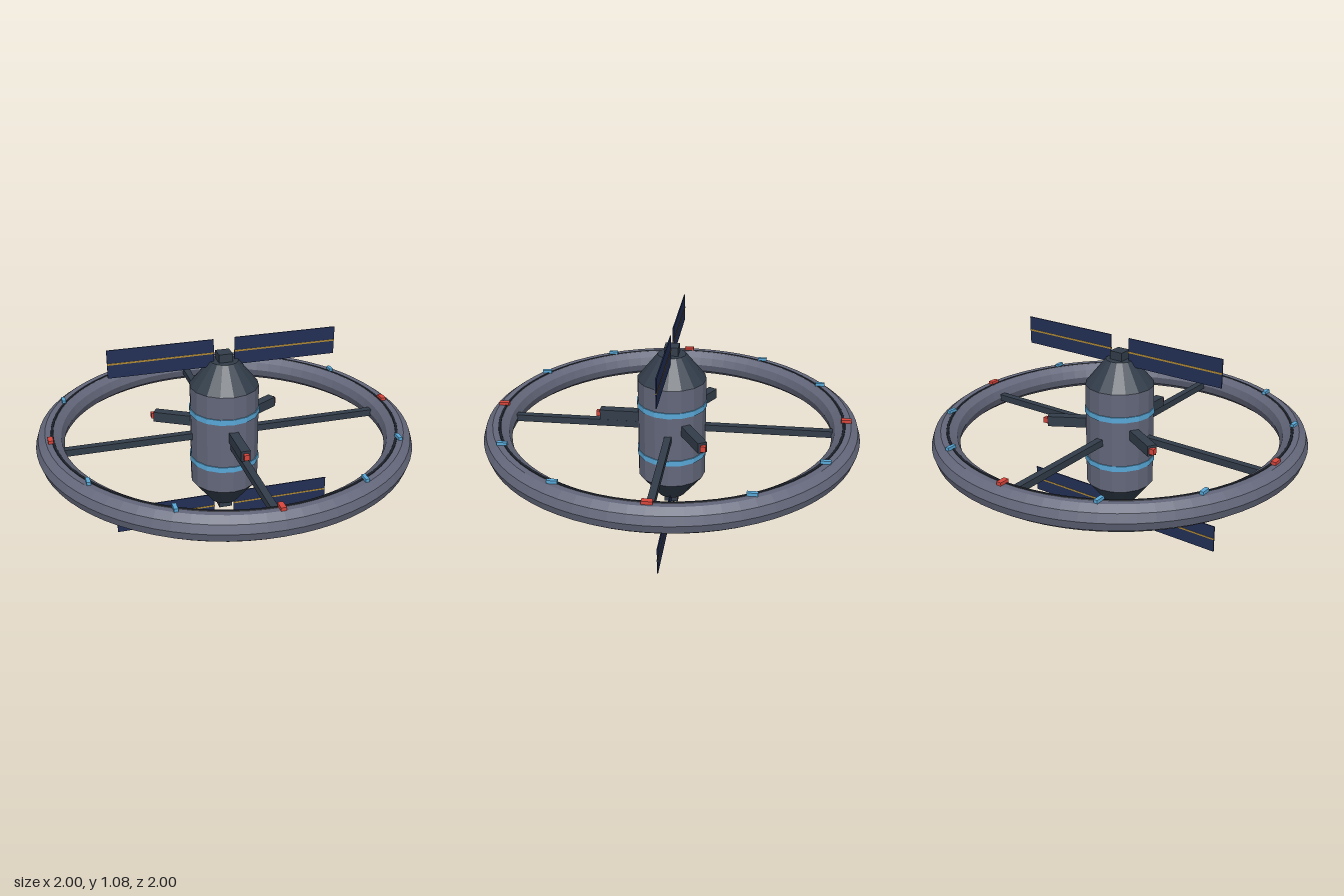
import * as THREE from 'three';

export function createModel() {
  const model = new THREE.Group();
  model.name = 'spaceStation';

  const mat = (name, color, flatShading = true) => {
    const m = new THREE.MeshStandardMaterial({ color, flatShading });
    m.name = name;
    return m;
  };
  const hull = mat('hull grey', 0x63677a);
  const dark = mat('dark slate', 0x323d4a);
  const seam = mat('seam black', 0x1c2129);
  const blue = mat('light blue', 0x58a8d8);
  const red = mat('signal red', 0xd8453c);
  const navy = mat('panel navy', 0x222f56);
  const gold = mat('panel gold', 0xb08a35);

  const add = (name, geometry, material, x = 0, y = 0, z = 0, parent = model) => {
    const mesh = new THREE.Mesh(geometry, material);
    mesh.name = name;
    mesh.position.set(x, y, z);
    parent.add(mesh);
    return mesh;
  };
  const box = (w, h, d) => new THREE.BoxGeometry(w, h, d);
  const drum = (top, bottom, h) => new THREE.CylinderGeometry(top, bottom, h, 16);
  const MID = 0.54;

  // Central body with tapered ends and glowing bands
  add('coreBody', drum(0.184, 0.184, 0.56), hull, 0, MID);
  add('upperCone', drum(0.075, 0.184, 0.135), dark, 0, 0.8875);
  add('lowerCone', drum(0.184, 0.075, 0.135), dark, 0, 0.1925);
  for (const y of [0.4, 0.68]) add('coreBand', drum(0.189, 0.189, 0.03), blue, 0, y);

  // Habitat ring with a dark seam near its crest
  const ring = add('habitatRing', new THREE.TorusGeometry(0.926, 0.074, 10, 72), hull, 0, MID);
  ring.rotation.x = -Math.PI / 2;
  const trim = add('ringSeam', new THREE.TorusGeometry(0.912, 0.012, 6, 72), seam, 0, 0.602);
  trim.rotation.x = -Math.PI / 2;

  // Four spokes from the core to the ring
  for (let i = 0; i < 4; i++) {
    const spoke = new THREE.Group();
    spoke.name = 'spoke';
    spoke.rotation.y = i * Math.PI / 2;
    add('spokeBeam', box(0.71, 0.037, 0.037), dark, 0.505, MID, 0, spoke);
    model.add(spoke);
  }

  // Lamps around the ring, all facing the same way
  for (let i = 0; i < 12; i++) {
    const a = i * Math.PI / 6;
    const main = i % 3 === 0;
    add(main ? 'redLamp' : 'blueLamp', box(main ? 0.027 : 0.02, 0.03, 0.052),
      main ? red : blue, 0.924 * Math.cos(a), 0.612, 0.924 * Math.sin(a));
  }

  // Three docking arms with red tips
  for (let i = 0; i < 3; i++) {
    const a = i * Math.PI * 2 / 3;
    const arm = new THREE.Group();
    arm.name = 'dockingArm';
    arm.rotation.y = a;
    add('armBeam', box(0.05, 0.056, 0.24), dark, 0, 0.59, 0.27, arm);
    model.add(arm);
    add('armTip', box(0.027, 0.03, 0.027), red, 0.398 * Math.sin(a), 0.59, 0.398 * Math.cos(a));
  }

  // End hubs and solar panels, top and bottom
  for (const [panelY, hubY] of [[1.0, 0.965], [0.075, 0.115]]) {
    add('panelHub', box(0.074, 0.07, 0.074), dark, 0, hubY);
    for (const side of [-1, 1]) {
      add('solarPanel', box(0.554, 0.15, 0.006), navy, side * 0.333, panelY);
      add('panelStripe', box(0.554, 0.009, 0.009), gold, side * 0.333, panelY);
    }
  }

  return model;
}
